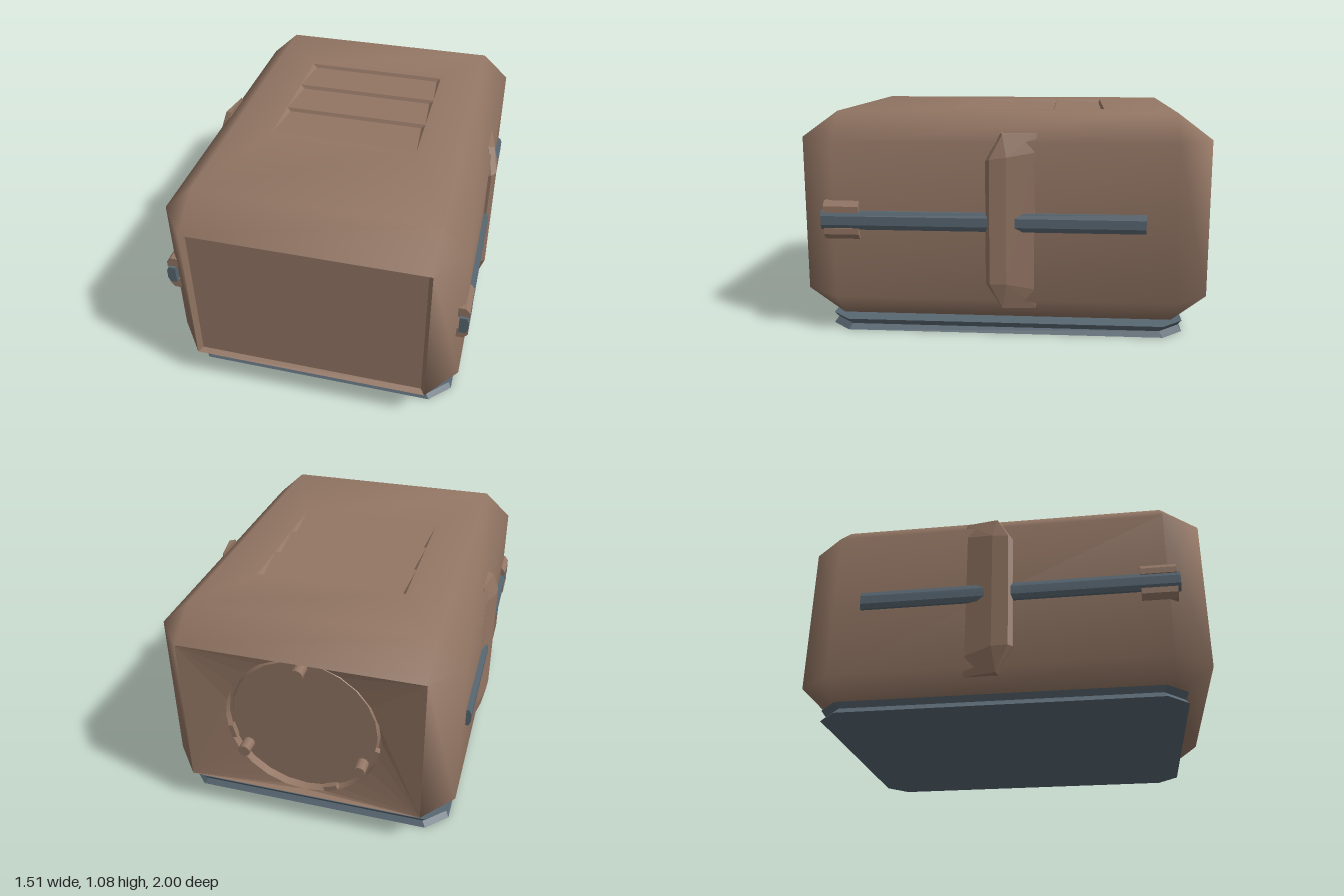
import * as THREE from 'three';
import { mergeVertices } from 'three/addons/utils/BufferGeometryUtils.js';
import { ConvexGeometry } from 'three/addons/geometries/ConvexGeometry.js';

const brown = new THREE.MeshStandardMaterial({ color: 0x937664, side: THREE.DoubleSide });
brown.name = 'clay brown';
const slate = new THREE.MeshStandardMaterial({ color: 0x586772, side: THREE.DoubleSide });
slate.name = 'slate grey';

const MID = 0.565; // height of the body's centre

// Surface from convex polygons, each turned to face away from a centre point
function surface(polys, centre, smooth = false) {
  const pos = [];
  const c = new THREE.Vector3(...centre);
  for (const poly of polys) {
    const p = poly.map((q) => new THREE.Vector3(...q));
    const mid = p.reduce((s, v) => s.add(v), new THREE.Vector3()).divideScalar(p.length);
    const n = p[1].clone().sub(p[0]).cross(p[2].clone().sub(p[0]));
    if (n.dot(mid.sub(c)) < 0) p.reverse();
    for (let i = 1; i < p.length - 1; i++) {
      for (const v of [p[0], p[i], p[i + 1]]) pos.push(v.x, v.y, v.z);
    }
  }
  let g = new THREE.BufferGeometry();
  g.setAttribute('position', new THREE.Float32BufferAttribute(pos, 3));
  if (smooth) g = mergeVertices(g, 1e-4);
  g.computeVertexNormals();
  return g;
}

// Quads joining two rings of points
function band(a, b) {
  return a.map((p, i) => {
    const j = (i + 1) % a.length;
    return [p, a[j], b[j], b[i]];
  });
}

const rectXZ = (x0, x1, z0, z1, y) => [[x0, y, z0], [x1, y, z0], [x1, y, z1], [x0, y, z1]];
const rectXY = (w, h, z) => [[-w, MID - h, z], [w, MID - h, z], [w, MID + h, z], [-w, MID + h, z]];

function add(parent, name, geometry, material) {
  const m = new THREE.Mesh(geometry, material);
  m.name = name;
  parent.add(m);
  return m;
}

export function createModel() {
  const model = new THREE.Group();
  model.name = 'equipmentCase';

  // Bevelled shell, open at front and back, with a hole on top for the louvres
  const side = (s, y, z) => [s * 0.72, MID + y * 0.385, z * 0.82];
  const cap = (x, s, z) => [x * 0.58, MID + s * 0.513, z * 0.82];
  const end = (x, y, s) => [x * 0.58, MID + y * 0.385, s > 0 ? 1 : -0.99];
  const shell = [];
  for (const s of [-1, 1]) {
    shell.push([side(s, -1, -1), side(s, -1, 1), side(s, 1, 1), side(s, 1, -1)]);
    for (const t of [-1, 1]) {
      shell.push([side(s, t, -1), side(s, t, 1), cap(s, t, 1), cap(s, t, -1)]);
      shell.push([side(s, -1, t), side(s, 1, t), end(s, 1, t), end(s, -1, t)]);
      shell.push([cap(-1, s, t), cap(1, s, t), end(1, s, t), end(-1, s, t)]);
      for (const u of [-1, 1]) shell.push([side(s, t, u), cap(s, t, u), end(s, t, u)]);
    }
  }
  const top = MID + 0.513;
  shell.push([cap(-1, -1, -1), cap(1, -1, -1), cap(1, -1, 1), cap(-1, -1, 1)]);
  shell.push(...band(rectXZ(-0.58, 0.58, -0.82, 0.82, top), rectXZ(-0.37, 0.37, -0.48, 0.27, top)));
  add(model, 'shell', surface(shell, [0, MID, 0], true), brown);

  // Three shallow louvres: a step down, then a slope back up
  const louvres = [];
  for (let i = 0; i < 3; i++) {
    const z = -0.48 + i * 0.25, z1 = z + 0.25, d = top - 0.018;
    louvres.push([[-0.37, top, z], [0.37, top, z], [0.35, d, z + 0.008], [-0.35, d, z + 0.008]]);
    louvres.push([[-0.35, d, z + 0.008], [0.35, d, z + 0.008], [0.37, top, z1], [-0.37, top, z1]]);
    for (const s of [-1, 1]) louvres.push([[s * 0.37, top, z], [s * 0.35, d, z + 0.008], [s * 0.37, top, z1]]);
  }
  add(model, 'louvres', surface(louvres, [0, -9, 0]), brown);

  // Inset front panel
  const frontInner = rectXY(0.56, 0.37, 0.975);
  add(model, 'frontPanel', surface([...band(rectXY(0.58, 0.385, 1), frontInner), frontInner], [0, MID, -9]), brown);

  // Back frame sloping in to a round opening
  const frame = new THREE.Shape([[-0.58, -0.385], [0.58, -0.385], [0.58, 0.385], [-0.58, 0.385]]
    .map((p) => new THREE.Vector2(...p)));
  frame.holes.push(new THREE.Path().absarc(0, 0, 0.38, 0, Math.PI * 2, true));
  let frameGeo = new THREE.ShapeGeometry(frame, 12);
  const fp = frameGeo.attributes.position;
  for (let i = 0; i < fp.count; i++) fp.setZ(i, Math.abs(fp.getX(i)) > 0.57 ? 0.99 : 0.955);
  frameGeo = frameGeo.toNonIndexed();
  frameGeo.computeVertexNormals();
  const back = new THREE.Group();
  back.name = 'back';
  back.position.y = MID;
  back.rotation.y = Math.PI;
  model.add(back);
  add(back, 'backFrame', frameGeo, brown);

  // Round cover, its surrounding groove, bolts and clips
  const wall = add(back, 'coverRim', new THREE.CylinderGeometry(0.38, 0.38, 0.05, 24, 1, true), brown);
  wall.rotation.x = Math.PI / 2;
  wall.position.z = 0.93;
  add(back, 'coverGroove', new THREE.CircleGeometry(0.38, 24), brown).position.z = 0.91;
  const cover = add(back, 'cover', new THREE.CylinderGeometry(0.355, 0.365, 0.02, 24), brown);
  cover.rotation.x = Math.PI / 2;
  cover.position.z = 0.92;
  for (const [x, y] of [[0, 0.33], [-0.285, -0.165], [0.285, -0.165]]) {
    const bolt = add(back, 'bolt', new THREE.CylinderGeometry(0.03, 0.03, 0.08, 10), brown);
    bolt.rotation.x = Math.PI / 2;
    bolt.position.set(x, y, 0.96);
  }
  for (const a of [-0.25, Math.PI + 0.25, -1.2]) {
    const clip = add(back, 'clip', new THREE.BoxGeometry(0.025, 0.07, 0.03), brown);
    clip.position.set(Math.cos(a) * 0.365, Math.sin(a) * 0.365, 0.945);
    clip.rotation.z = a;
  }

  // Base plate with cut corners and a slightly pinched edge
  const ring = (y, inset) => {
    const x = 0.69 - inset, z = 0.875 - inset, c = 0.1;
    return [[x - c, y, z], [x, y, z - c], [x, y, c - z], [x - c, y, -z],
      [c - x, y, -z], [-x, y, c - z], [-x, y, z - c], [c - x, y, z]];
  };
  const r0 = ring(0, 0), r1 = ring(0.027, 0.018), r2 = ring(0.055, 0);
  add(model, 'basePlate', surface([r0, r2, ...band(r0, r1), ...band(r1, r2)], [0, 0.027, 0]), slate);

  // Side fittings, mirrored
  const railShape = new THREE.Shape([[0.7, 0.522], [0.735, 0.522], [0.745, 0.545], [0.745, 0.588],
    [0.735, 0.612], [0.7, 0.612]].map((p) => new THREE.Vector2(...p)));
  const railGeo = new THREE.ExtrudeGeometry(railShape, { depth: 1.55, bevelEnabled: false });
  railGeo.translate(0, 0, -0.675);
  const padGeo = new ConvexGeometry([
    [0.7, 0.27, 0.08], [0.7, 0.86, 0.08], [0.7, 0.99, 0.01], [0.7, 0.99, -0.16], [0.7, 0.14, -0.16], [0.7, 0.14, 0.01],
    [0.735, 0.27, 0.08], [0.735, 0.86, 0.08], [0.732, 0.985, 0], [0.732, 0.145, 0],
    [0.757, 0.27, 0.06], [0.757, 0.87, 0.06], [0.755, 0.27, -0.02], [0.755, 0.88, -0.02],
    [0.721, 0.24, -0.15], [0.721, 0.9, -0.15],
  ].map((p) => new THREE.Vector3(...p)));
  // Bracket jaw with a bevelled outer face
  const jawShape = new THREE.Shape([[0.69, 0.605], [0.745, 0.605], [0.745, 0.635], [0.725, 0.66], [0.69, 0.66]]
    .map((p) => new THREE.Vector2(...p)));
  const jawGeo = new THREE.ExtrudeGeometry(jawShape, { depth: 0.17, bevelEnabled: false });
  jawGeo.translate(0, -0.567, 0.69);

  for (const s of [1, -1]) {
    const fittings = new THREE.Group();
    fittings.name = s > 0 ? 'leftFittings' : 'rightFittings';
    fittings.scale.x = s;
    model.add(fittings);
    add(fittings, 'sideRail', railGeo, slate);
    add(fittings, 'sidePad', padGeo, brown);
    for (const t of [1, -1]) {
      const jaw = add(fittings, t > 0 ? 'upperBracket' : 'lowerBracket', jawGeo, brown);
      jaw.position.y = 0.567;
      jaw.scale.y = t;
    }
  }
  return model;
}
